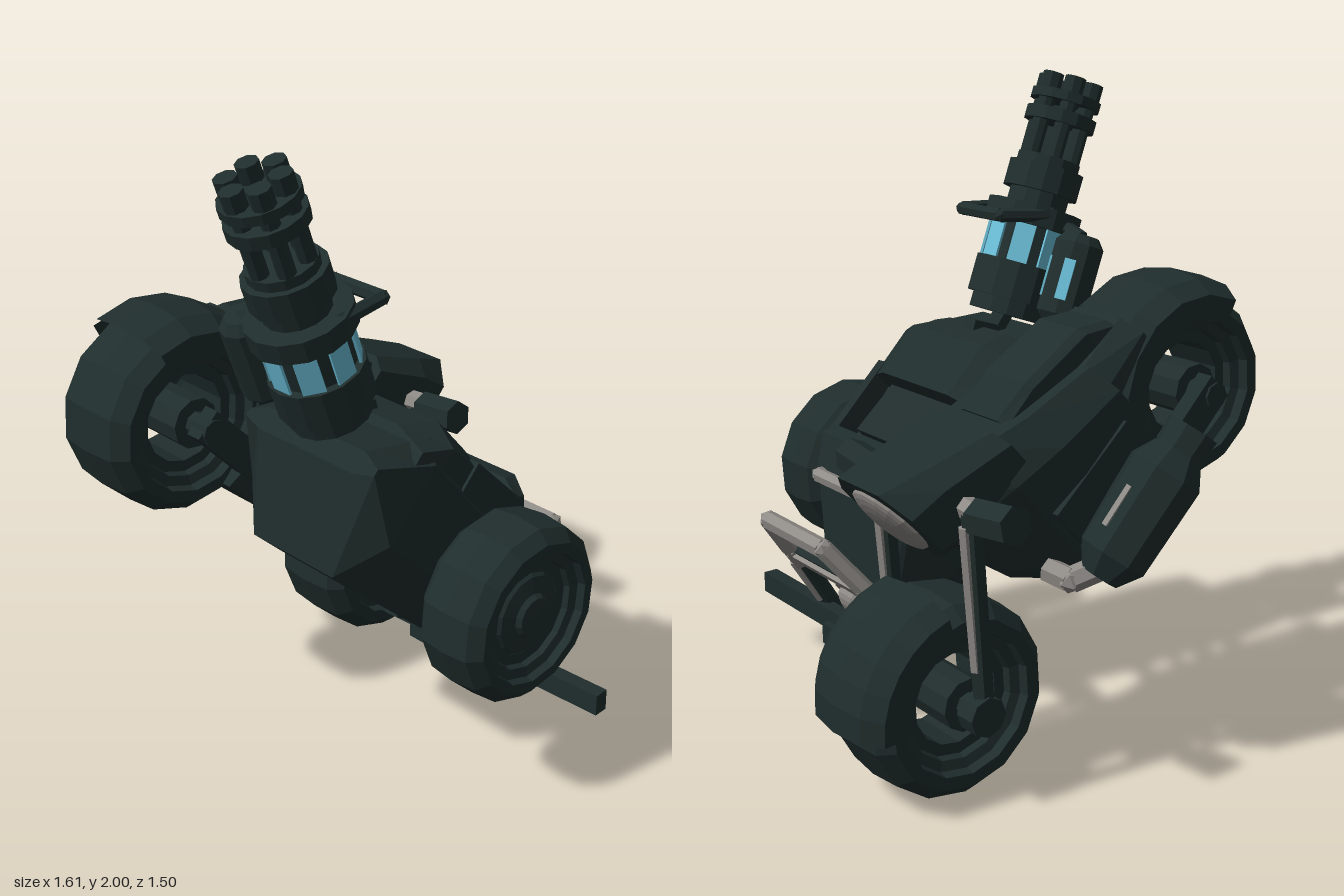
import * as THREE from 'three';

const dark = new THREE.MeshStandardMaterial({ color: 0x1f2d2c });
dark.name = 'dark green steel';
const grey = new THREE.MeshStandardMaterial({ color: 0x8f8b87 });
grey.name = 'grey metal';
const blue = new THREE.MeshStandardMaterial({ color: 0x6bbfd8 });
blue.name = 'blue glow';

const V = (a) => new THREE.Vector3(...a);

// adds a faceted mesh
function add(parent, name, geo, mat = dark, pos = [0, 0, 0]) {
  const g = geo.index ? geo.toNonIndexed() : geo;
  g.computeVertexNormals();
  const m = new THREE.Mesh(g, mat);
  m.name = name;
  m.position.set(...pos);
  parent.add(m);
  return m;
}
const box = (parent, name, size, pos, mat) => add(parent, name, new THREE.BoxGeometry(...size), mat, pos);

// straight bar between two points
function rod(parent, name, a, b, r, mat = dark, sides = 6, r2 = r) {
  const d = V(b).sub(V(a));
  const m = add(parent, name, new THREE.CylinderGeometry(r2, r, d.length(), sides), mat);
  m.position.copy(V(a).addScaledVector(d, 0.5));
  m.quaternion.setFromUnitVectors(new THREE.Vector3(0, 1, 0), d.normalize());
  return m;
}
// bent bar through several points
function pipe(parent, name, pts, r, mat) {
  const g = new THREE.Group();
  g.name = name;
  for (let i = 0; i < pts.length - 1; i++) rod(g, name + 'Section', pts[i], pts[i + 1], r, mat);
  for (let i = 1; i < pts.length - 1; i++) add(g, name + 'Bend', new THREE.IcosahedronGeometry(r * 1.05, 0), mat, pts[i]);
  parent.add(g);
}

// octagonal sections along z: [z, y0, y1, y2, y3, bottom half width, middle, top]
function loft(sections) {
  const pos = [], idx = [], n = 8;
  for (const [z, y0, y1, y2, y3, a, w, t] of sections)
    for (const [x, y] of [[a, y0], [w, y1], [w, y2], [t, y3], [-t, y3], [-w, y2], [-w, y1], [-a, y0]]) pos.push(x, y, z);
  const last = (sections.length - 1) * n;
  for (let i = 0; i < last; i += n)
    for (let j = 0; j < n; j++) {
      const k = (j + 1) % n;
      idx.push(i + j, i + k, i + n + k, i + j, i + n + k, i + n + j);
    }
  for (let j = 1; j < n - 1; j++) idx.push(0, j + 1, j, last, last + j, last + j + 1);
  const g = new THREE.BufferGeometry();
  g.setAttribute('position', new THREE.Float32BufferAttribute(pos, 3));
  g.setIndex(idx);
  return g;
}

// profile [radius, x offset] turned about the x axis
function turned(profile, sides, start = 0, length = Math.PI * 2) {
  return new THREE.LatheGeometry(profile.map(([r, y]) => new THREE.Vector2(r, y)), sides, start, length).rotateZ(Math.PI / 2);
}
function tyre(r, h, bore) {
  return turned([[bore, -h * 0.6], [bore + 0.035, -h * 0.6], [bore + 0.04, -h * 0.75], [bore + 0.07, -h * 0.8], [bore + 0.075, -h],
    [r * 0.84, -h], [r * 0.97, -h * 0.7], [r, 0], [r * 0.97, h * 0.7], [r * 0.84, h],
    [bore + 0.075, h], [bore + 0.07, h * 0.8], [bore + 0.04, h * 0.75], [bore + 0.035, h * 0.6], [bore, h * 0.6], [bore, -h * 0.6]], 14);
}
function fender(r, h, from, to) {
  const outer = [[r - 0.12, -h], [r - 0.055, -h], [r - 0.015, -h * 0.65], [r, 0], [r - 0.015, h * 0.65], [r - 0.055, h], [r - 0.12, h]];
  const inner = [[r - 0.12, h - 0.012], [r - 0.06, h - 0.012], [r - 0.03, h * 0.6], [r - 0.03, -h * 0.6], [r - 0.06, -h + 0.012], [r - 0.12, -h + 0.012]];
  return turned([...outer, ...inner, outer[0]], 6, from, to - from);
}

function buildBike(g) {
  const cx = -0.355, AX = 0.49, REAR = 1.077, FRONT = -0.078;
  // wheels with open centres
  add(g, 'rearTyre', tyre(0.3, 0.16, 0.14), dark, [cx, AX, REAR]);
  add(g, 'frontTyre', tyre(0.304, 0.155, 0.14), dark, [cx, AX, FRONT]);
  add(g, 'rearFender', fender(0.347, 0.175, 0.36, 2.7), dark, [cx, AX, REAR]);
  add(g, 'frontFender', fender(0.355, 0.18, 1.1, 2.5), dark, [cx, AX, FRONT]);
  for (const z of [REAR, FRONT]) {
    rod(g, 'hub', [cx - 0.15, AX, z], [cx + 0.15, AX, z], 0.08, dark, 10);
    rod(g, 'axle', [cx - 0.24, AX, z], [cx + 0.24, AX, z], 0.04, dark, 8);
  }
  // frame, tank and seat
  add(g, 'bikeBody', loft([
    [0.28, 0.6, 0.66, 0.86, 0.96, 0.1, 0.13, 0.1],
    [0.45, 0.385, 0.45, 0.86, 1.0, 0.18, 0.2, 0.13],
    [0.62, 0.38, 0.45, 0.83, 0.94, 0.2, 0.22, 0.15],
    [0.86, 0.38, 0.45, 0.78, 0.87, 0.19, 0.21, 0.15]]), dark, [cx, 0, 0]);
  add(g, 'tailFairing', loft([
    [0.8, 0.7, 0.73, 0.8, 0.88, 0.15, 0.19, 0.14],
    [1.05, 0.76, 0.78, 0.8, 0.85, 0.12, 0.165, 0.1]]), dark, [cx, 0, 0]);
  add(g, 'seat', loft([
    [0.57, 0.86, 0.87, 0.945, 0.965, 0.1, 0.11, 0.08],
    [0.7, 0.84, 0.86, 0.955, 0.975, 0.1, 0.112, 0.09],
    [0.93, 0.8, 0.82, 0.92, 0.94, 0.1, 0.112, 0.085],
    [1.02, 0.8, 0.82, 0.85, 0.87, 0.1, 0.105, 0.08]]), dark, [cx, 0, 0]);
  // headlight
  add(g, 'headlightCowl', loft([
    [0.18, 0.85, 0.92, 1.06, 1.145, 0.1, 0.175, 0.1],
    [0.3, 0.81, 0.89, 1.04, 1.095, 0.12, 0.185, 0.12],
    [0.52, 0.8, 0.87, 0.96, 1.0, 0.13, 0.19, 0.14]]), dark, [cx, 0, 0]);
  const lens = add(g, 'headlightLens', new THREE.SphereGeometry(0.13, 16, 12).rotateX(Math.PI / 2), grey, [cx, 0.99, 0.18]);
  lens.scale.z = 0.22;
  // both sides: forks, handlebars, swing arms
  for (const s of [-1, 1]) {
    const x = cx + s * 0.215;
    rod(g, 'forkLeg', [x, 0.95, 0.3], [x, 0.47, -0.08], 0.032);
    rod(g, 'forkTrim', [x, 0.94, 0.26], [x, 0.6, 0.0], 0.018, grey);
    rod(g, 'forkFoot', [x - 0.035, AX, FRONT], [x + 0.035, AX, FRONT], 0.06, dark, 8);
    rod(g, 'handlebar', [cx + s * 0.1, 0.94, 0.32], [cx + s * 0.27, 0.96, 0.3], 0.034, grey);
    rod(g, 'grip', [cx + s * 0.245, 0.945, 0.3], [cx + s * 0.4, 0.955, 0.315], 0.056);
    const arm = box(g, 'swingArm', [0.055, 0.1, 0.58], [cx + s * 0.205, 0.48, 0.82]);
    arm.rotation.x = -0.06;
    box(g, 'engineCover', [0.06, 0.27, 0.34], [cx + s * 0.195, 0.57, 0.64]);
  }
  // exhaust can and its feed pipe
  const a = [-0.64, 0.5, 0.44], b = [-0.71, 0.6, 0.86];
  const can = new THREE.Group();
  can.name = 'exhaust';
  can.position.copy(V(a));
  can.quaternion.setFromUnitVectors(new THREE.Vector3(0, 1, 0), V(b).sub(V(a)).normalize());
  const prof = [[0, -0.02], [0.06, -0.02], [0.108, 0.05], [0.115, 0.33], [0.075, 0.4], [0.08, 0.475], [0.058, 0.475], [0.052, 0.4], [0, 0.4]];
  add(can, 'exhaustCan', new THREE.LatheGeometry(prof.map(([r, y]) => new THREE.Vector2(r, y)), 8).rotateY(Math.PI / 8));
  box(can, 'exhaustSlit', [0.018, 0.13, 0.006], [0, 0.18, -0.105], grey);
  g.add(can);
  pipe(g, 'exhaustPipe', [[-0.52, 0.56, 0.36], [-0.6, 0.54, 0.365], [-0.63, 0.5, 0.45]], 0.038, grey);
}

function buildSidecar(g) {
  const cx = 0.22;
  // tub, headrest and dash around the open cockpit
  add(g, 'sidecarTub', loft([
    [0.07, 0.34, 0.38, 0.47, 0.52, 0.15, 0.19, 0.17],
    [0.28, 0.3, 0.42, 0.68, 0.76, 0.18, 0.25, 0.19],
    [0.5, 0.3, 0.44, 0.66, 0.7, 0.18, 0.288, 0.25],
    [0.72, 0.29, 0.44, 0.68, 0.72, 0.18, 0.295, 0.25],
    [0.89, 0.29, 0.44, 0.7, 0.77, 0.17, 0.295, 0.23],
    [1.07, 0.56, 0.58, 0.6, 0.63, 0.2, 0.27, 0.2]]), dark, [cx, 0, 0]);
  add(g, 'headrest', loft([
    [0.66, 0.66, 0.68, 0.77, 0.81, 0.25, 0.27, 0.18],
    [0.85, 0.66, 0.68, 0.77, 0.825, 0.26, 0.29, 0.19],
    [0.95, 0.6, 0.62, 0.71, 0.755, 0.25, 0.28, 0.15]]), dark, [cx, 0, 0]);
  add(g, 'dash', loft([
    [0.27, 0.64, 0.66, 0.72, 0.78, 0.19, 0.23, 0.17],
    [0.38, 0.64, 0.66, 0.8, 0.85, 0.2, 0.25, 0.18],
    [0.43, 0.64, 0.66, 0.78, 0.82, 0.2, 0.26, 0.19]]), dark, [cx, 0, 0]);
  for (const s of [-1, 1]) box(g, 'cockpitSide', [0.035, 0.13, 0.3], [cx + s * 0.255, 0.72, 0.56]).rotation.y = s * 0.08;
  box(g, 'cockpitSeat', [0.4, 0.05, 0.2], [cx, 0.715, 0.57]);
  // wheel with stepped hub cover
  const wheel = [0.66, 0.482, 0.462];
  add(g, 'sidecarTyre', tyre(0.282, 0.12, 0.13), dark, wheel);
  add(g, 'hubCover', turned([[0, -0.11], [0.06, -0.105], [0.07, -0.09], [0.12, -0.08], [0.14, -0.06], [0.14, 0.06], [0, 0.07]], 14), dark, wheel);
  rod(g, 'sidecarAxle', [0.4, 0.46, 0.45], wheel, 0.04);
  // links to the bike
  rod(g, 'link', [-0.25, 0.56, 0.82], [0.02, 0.56, 0.82], 0.035);
  rod(g, 'link', [-0.25, 0.45, 0.5], [0.02, 0.45, 0.5], 0.03);
  rod(g, 'link', [-0.25, 0.72, 0.72], [0.02, 0.66, 0.72], 0.035);
  rod(g, 'linkBrace', [-0.25, 0.52, 0.62], [0.02, 0.6, 0.62], 0.022, grey);
  // front guard, grab handle and lamp
  pipe(g, 'frontGuard', [[-0.025, 0.56, 0.035], [0.0, 0.64, 0.04], [0.06, 0.81, 0.055], [0.39, 0.81, 0.055], [0.44, 0.64, 0.04], [0.465, 0.56, 0.035]], 0.03, grey);
  box(g, 'guardBar', [0.42, 0.045, 0.03], [cx, 0.62, 0.05]);
  box(g, 'guardBarTrim', [0.4, 0.04, 0.02], [cx, 0.61, 0.03], grey);
  for (const x of [-0.03, 0.47]) {
    rod(g, 'guardLeg', [x, 0.6, 0.05], [x, 0.3, -0.01], 0.032);
    rod(g, 'guardLegTrim', [x, 0.58, 0.02], [x, 0.4, -0.012], 0.016, grey);
  }
  pipe(g, 'grabHandle', [[0.06, 0.74, 0.3], [0.1, 0.8, 0.26], [0.34, 0.8, 0.26], [0.38, 0.74, 0.3]], 0.024, grey);
  const lamp = add(g, 'sidecarLamp', new THREE.SphereGeometry(0.078, 12, 10).rotateX(Math.PI / 2), grey, [cx, 0.455, 0.03]);
  lamp.scale.z = 0.6;
  rod(g, 'lampRim', [cx, 0.455, 0.03], [cx, 0.455, 0.12], 0.1, grey, 12);
}

function buildGun(g) {
  // stacked drums: [name, bottom, top, radius]
  const drums = [['baseDrum', -0.02, 0.04, 0.125], ['baseDrum', 0.03, 0.15, 0.145], ['coilCore', 0.14, 0.29, 0.12], ['collar', 0.275, 0.34, 0.158],
    ['neck', 0.34, 0.39, 0.1], ['lowerRing', 0.39, 0.475, 0.125], ['lowerRingCap', 0.475, 0.505, 0.105], ['barrelRing', 0.615, 0.655, 0.118], ['barrelRing', 0.685, 0.715, 0.116]];
  for (const [n, a, b, r] of drums) rod(g, n, [0, a, 0], [0, b, 0], r, dark, 14);
  for (let i = 0; i < 8; i++) {
    const t = (i * Math.PI) / 4;
    const p = box(g, 'coilWindow', [0.066, 0.125, 0.008], [Math.sin(t) * 0.128, 0.213, Math.cos(t) * 0.128], blue);
    p.rotation.y = t;
  }
  for (let i = 0; i < 6; i++) {
    const t = (i * Math.PI) / 3, x = Math.sin(t) * 0.077, z = Math.cos(t) * 0.077;
    rod(g, 'barrel', [x, 0.47, z], [x, 0.74, z], 0.027, dark, 8);
    rod(g, 'muzzle', [x, 0.7, z], [x, 0.768, z], 0.034, dark, 8);
  }
  pipe(g, 'gunHandle', [[-0.13, 0.325, -0.03], [-0.1, 0.272, -0.21], [0.1, 0.272, -0.21], [0.13, 0.325, -0.03]], 0.022, dark);
  // side canister
  const c = new THREE.Group();
  c.name = 'canister';
  c.position.set(-0.215, 0.145, 0.04);
  rod(c, 'canisterBody', [0, -0.12, 0], [0, 0.11, 0], 0.078, dark, 10);
  rod(c, 'canisterTop', [0, 0.11, 0], [0, 0.14, 0], 0.078, dark, 10, 0.055);
  rod(c, 'canisterFoot', [0, -0.145, 0], [0, -0.12, 0], 0.055, dark, 10, 0.078);
  for (const t of [1.45, 2.4, 3.8]) {
    const p = box(c, 'canisterWindow', [0.036, 0.13, 0.008], [Math.sin(t) * 0.076, -0.01, Math.cos(t) * 0.076], blue);
    p.rotation.y = t;
  }
  rod(c, 'canisterLink', [0, 0.13, 0], [0.13, 0.17, -0.02], 0.025);
  rod(c, 'canisterLink', [0.04, -0.08, 0], [0.13, -0.08, -0.02], 0.025);
  g.add(c);
}

export function createModel() {
  const model = new THREE.Group();
  model.name = 'sidecarMotorcycle';
  // the vehicle is pitched nose down; its front points along local -z
  const vehicle = new THREE.Group();
  vehicle.name = 'vehicle';
  vehicle.rotation.x = -0.748;
  buildBike(vehicle);
  buildSidecar(vehicle);
  model.add(vehicle);
  // gun on its post
  const gun = new THREE.Group();
  gun.name = 'rotaryGun';
  gun.position.set(0.215, 1.24, 0.3);
  gun.rotation.x = 0.343;
  buildGun(gun);
  model.add(gun);
  rod(model, 'gunPost', [0.215, 1.12, 0.2], [0.215, 1.25, 0.3], 0.035);
  const mount = box(model, 'gunMount', [0.06, 0.05, 0.12], [0.215, 1.185, 0.2]);
  mount.rotation.x = 0.3;
  // low cross bar and its pads
  const bar = box(model, 'crossBar', [0.935, 0.07, 0.05], [0.335, 0.235, -0.27]);
  bar.rotation.set(0, 0.035, 0.025);
  for (const x of [0.105, 0.335]) box(model, 'crossBarPad', [0.13, 0.07, 0.1], [x, 0.195, -0.27]);
  return model;
}
